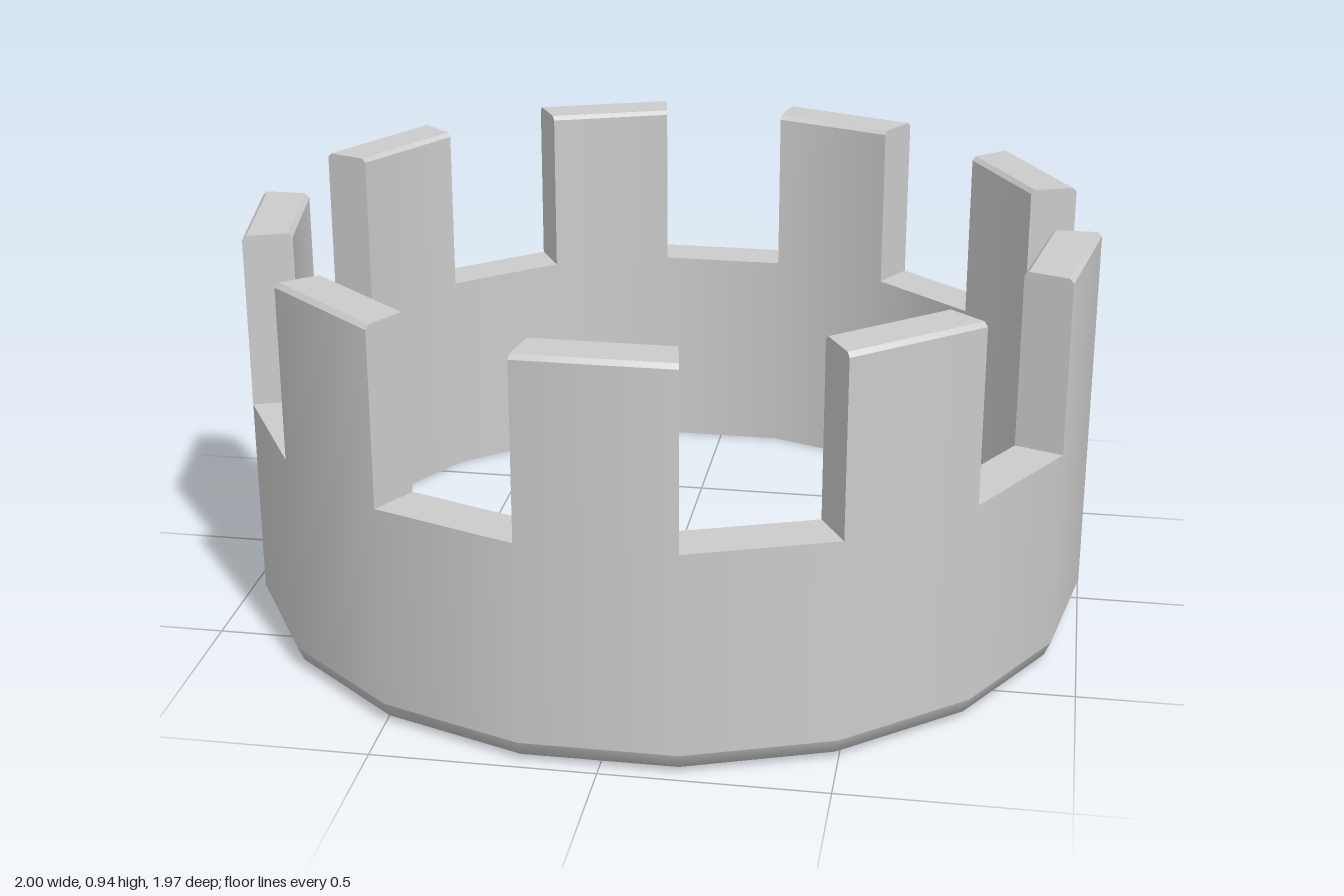
import * as THREE from 'three';

const SIDES = 18;
const STEP = (Math.PI * 2) / SIDES;
const OUTER = 1, INNER = 0.885;      // wall radii
const LEDGE = 0.52, TOP = 0.935;     // heights of the gaps and the merlons
const BEVEL = 0.01;

export function createModel() {
  const model = new THREE.Group();
  model.name = 'crenellatedRing';
  const material = new THREE.MeshStandardMaterial({ color: 0xcccccc });
  const doubleSided = new THREE.MeshStandardMaterial({ color: 0xcccccc, side: THREE.DoubleSide });

  const add = (parent, name, geometry, mat = material) => {
    const mesh = new THREE.Mesh(geometry, mat);
    mesh.name = name;
    parent.add(mesh);
    return mesh;
  };

  // Sweeps a profile of [radius, height] points, smooth around the ring.
  // Segment k spans k*STEP to (k+1)*STEP, measured from +x towards +z.
  const sweep = (points, k = 0, count = SIDES) => new THREE.LatheGeometry(
    points.map(([r, y]) => new THREE.Vector2(r, y)),
    count, Math.PI / 2 - (k + count) * STEP, count * STEP);

  // Solid lower band with a rounded bottom edge
  const band = new THREE.Group();
  band.name = 'band';
  model.add(band);
  add(band, 'bandOuterWall', sweep([[OUTER, 0.05], [OUTER, LEDGE]]));
  add(band, 'bandInnerWall', sweep([[INNER, LEDGE], [INNER, 0]]));
  add(band, 'bandBottom', sweep([[INNER, 0], [0.94, 0]]));
  add(band, 'bandBottomEdge', sweep([[0.94, 0], [0.985, 0.015], [OUTER, 0.05]]));

  // Outline of a merlon's side, with slightly bevelled top corners
  const outline = [
    [OUTER, LEDGE], [OUTER, TOP - BEVEL], [OUTER - BEVEL, TOP],
    [INNER + BEVEL, TOP], [INNER, TOP - BEVEL], [INNER, LEDGE],
  ];
  const sideGeometry = new THREE.ShapeGeometry(
    new THREE.Shape(outline.map(([r, y]) => new THREE.Vector2(r, y))));

  // Merlons on even segments, open ledges on odd ones
  for (let k = 0; k < SIDES; k += 2) {
    const merlon = new THREE.Group();
    merlon.name = 'merlon';
    model.add(merlon);
    const faces = ['OuterFace', 'OuterBevel', 'Top', 'InnerBevel', 'InnerFace'];
    faces.forEach((face, i) =>
      add(merlon, 'merlon' + face, sweep([outline[i], outline[i + 1]], k, 1)));
    for (const edge of [k, k + 1]) {
      add(merlon, 'merlonSide', sideGeometry, doubleSided).rotation.y = -edge * STEP;
    }
    add(band, 'gapLedge', sweep([[OUTER, LEDGE], [INNER, LEDGE]], k + 1, 1));
  }
  return model;
}
